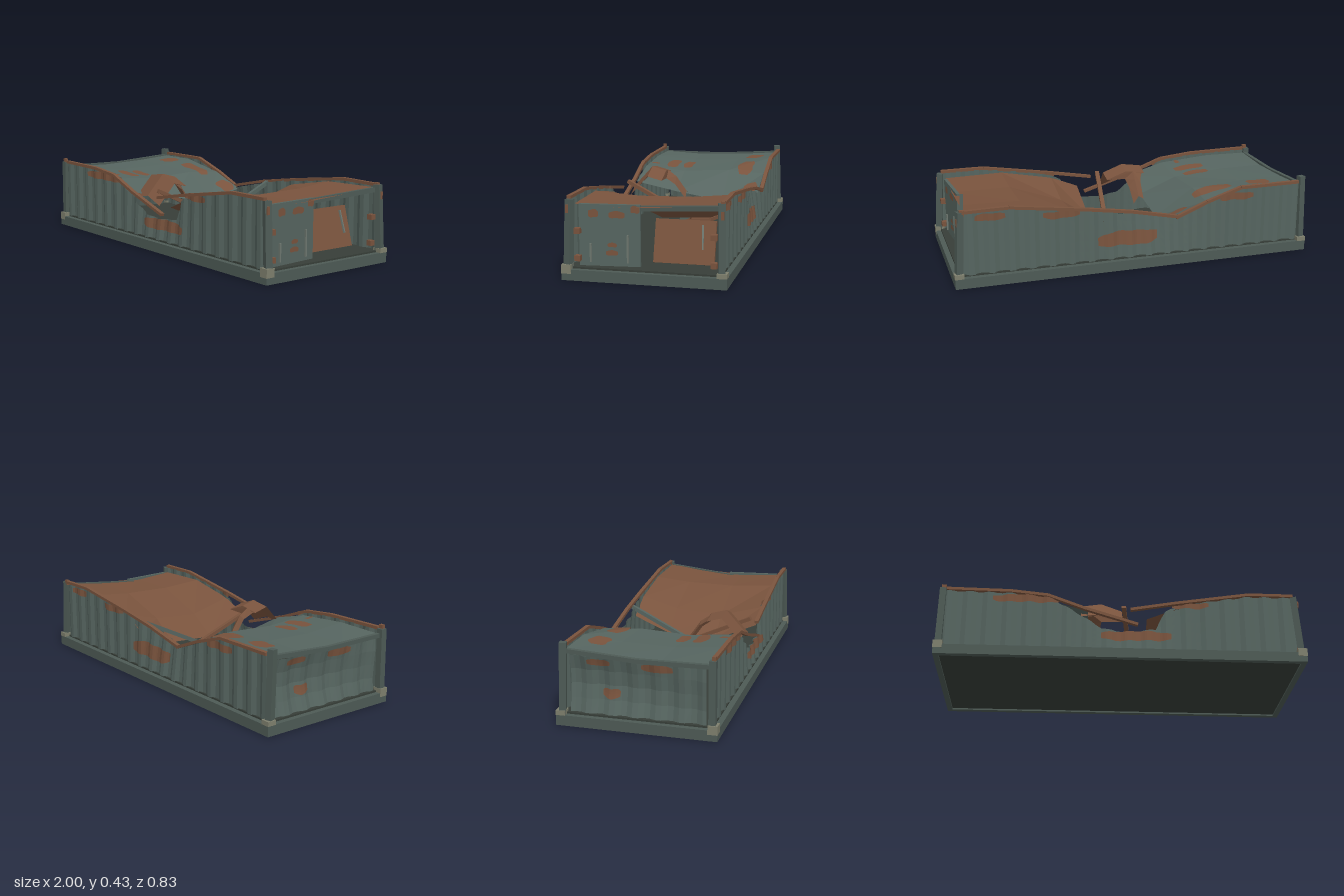
import * as THREE from 'three';

const mat = (name, color) => {
  const m = new THREE.MeshStandardMaterial({ color, side: THREE.DoubleSide, flatShading: true });
  m.name = name;
  return m;
};
const V = (x, y, z) => new THREE.Vector3(x, y, z);

// Piecewise linear profile through [x, y] points
function profile(pts, x) {
  if (x <= pts[0][0]) return pts[0][1];
  for (let i = 1; i < pts.length; i++) {
    const [a, b] = [pts[i - 1], pts[i]];
    if (x <= b[0]) return a[1] + (b[1] - a[1]) * (x - a[0]) / (b[0] - a[0]);
  }
  return pts[pts.length - 1][1];
}

// Shallow trapezoid corrugation, -1..1
function corrugate(u, pitch) {
  const t = ((u / pitch) % 1 + 1) % 1;
  return profile([[0, -1], [0.25, 1], [0.5, 1], [0.75, -1], [1, -1]], t);
}

// Columns that land on every corrugation crease
function creases(from, to, pitch) {
  const out = [from];
  for (let k = Math.ceil(from / pitch * 4); k * pitch / 4 < to; k++) {
    const u = k * pitch / 4;
    if (u > from + 1e-4) out.push(u);
  }
  return [...out, to];
}

export function createModel() {
  const root = new THREE.Group();
  root.name = 'crushedContainer';
  const green = mat('paintedSteel', 0x566560);
  const frame = mat('frameSteel', 0x4d5a55);
  const rust = mat('rust', 0x79533d);
  const dark = mat('darkFloor', 0x373e38);
  const pale = mat('castingGrey', 0x7e7f6d);
  const bar = mat('lockBar', 0x6d776f);

  function add(name, geo, m) {
    const mesh = new THREE.Mesh(geo, m);
    mesh.name = name;
    root.add(mesh);
    return mesh;
  }
  const box = (name, m, w, h, d, x, y, z) => {
    const b = add(name, new THREE.BoxGeometry(w, h, d), m);
    b.position.set(x, y, z);
    return b;
  };
  // Straight bar between two points
  function beam(name, m, a, b, w, h = w) {
    const mesh = add(name, new THREE.BoxGeometry(w, h, a.distanceTo(b)), m);
    mesh.position.copy(a).lerp(b, 0.5);
    mesh.lookAt(b);
  }
  // Sheet sampled from fn(u, v) at the given columns and rows
  function sheet(name, m, fn, us, rows) {
    const pos = [], idx = [];
    us.forEach((u, i) => {
      for (let j = 0; j <= rows; j++) {
        pos.push(...fn(u, j / rows, i).toArray());
        if (i && j) {
          const a = i * (rows + 1) + j, b = a - rows - 1;
          idx.push(b - 1, a - 1, a, b - 1, a, b);
        }
      }
    });
    let g = new THREE.BufferGeometry();
    g.setAttribute('position', new THREE.Float32BufferAttribute(pos, 3));
    g.setIndex(idx);
    g = g.toNonIndexed();
    g.computeVertexNormals();
    add(name, g, m);
  }
  // Ragged rust blotch lying on the surface at(u, v)
  function blotch(at, u, v, w, h, n = 8) {
    const us = Array.from({ length: n + 1 }, (_, i) => u - w / 2 + w * i / n);
    sheet('rustPatch', rust, (a, t) => {
      const s = (a - u) / (w / 2);
      return at(a, v + (t - 0.5) * h * (1 - 0.45 * s ** 4) + 0.06 * h * Math.sin(4 * s + 9 * u));
    }, us, 4);
  }

  // Base frame, floor and corner castings
  for (const s of [-1, 1]) {
    box('sideSill', frame, 1.996, 0.055, 0.03, 0, 0.0275, s * 0.399);
    box('endSill', frame, 0.03, 0.055, 0.77, s * 0.983, 0.0275, 0);
    box('cornerCasting', pale, 0.05, 0.045, 0.05, s * 0.975, 0.0565, 0.39);
    box('cornerCasting', pale, 0.05, 0.024, 0.05, s * 0.975, 0.066, -0.39);
  }
  box('floor', dark, 1.94, 0.055, 0.768, 0, 0.0365, 0);

  // Corner posts with rust at the top
  for (const [x, z, tx, ty, tz] of [
    [0.975, 0.385, 0.955, 0.4, 0.378], [0.975, -0.385, 0.955, 0.41, -0.38],
    [-0.975, 0.385, -0.97, 0.4, 0.385], [-0.975, -0.385, -0.972, 0.43, -0.372],
  ]) beam('cornerPost', frame, V(x, 0.055, z), V(tx, ty, tz), 0.035);
  box('rustyPostTip', rust, 0.025, 0.02, 0.018, -0.965, 0.41, 0.39);
  box('rustyPostTip', rust, 0.025, 0.03, 0.018, 0.945, 0.405, -0.385);
  for (const s of [-1, 1]) box('rustPatch', rust, 0.006, 0.04, 0.016, 0.975, 0.355, s * 0.387);

  // Corrugated long walls, caved in near the middle
  const tops = {
    1: [[-0.95, 0.395], [-0.6, 0.39], [-0.4, 0.37], [-0.25, 0.285], [-0.1, 0.19], [0.02, 0.175],
      [0.2, 0.195], [0.225, 0.295], [0.3, 0.335], [0.5, 0.375], [0.7, 0.403], [0.95, 0.403]],
    '-1': [[-0.95, 0.396], [-0.6, 0.393], [-0.4, 0.325], [-0.22, 0.255], [0.03, 0.31],
      [0.2, 0.345], [0.7, 0.405], [0.95, 0.402]],
  };
  const pitch = 0.108;
  for (const s of [1, -1]) {
    const mid = s > 0 ? 0.05 : -0.08;
    const wall = (x, y, out = 0) => {
      const up = Math.max(0, (y - 0.06) / 0.34);
      const dent = 0.05 * up * Math.exp(-(((x - mid) / 0.24) ** 2));
      return V(x, y, s * (0.38 + 0.006 * corrugate(x, pitch) - dent + out));
    };
    sheet('corrugatedWall', green, (x, t) => wall(x, 0.06 + t * (profile(tops[s], x) - 0.06)),
      creases(-0.955, 0.955, pitch), 5);
    const marks = s > 0
      ? [[0.08, 0.148, 0.38, 0.06], [-0.52, 0.355, 0.36, 0.045], [0.38, 0.338, 0.2, 0.035]]
      : [[0.05, 0.17, 0.34, 0.08], [-0.58, 0.35, 0.2, 0.04], [0.42, 0.345, 0.2, 0.04], [0.8, 0.37, 0.16, 0.04]];
    for (const [u, v, w, h] of marks) blotch((x, y) => wall(x, y, 0.004), u, v, w, h, 32);
  }

  // Bent, broken top rails
  const rails = [
    [0.385, [[-0.95, 0.4], [-0.6, 0.395], [-0.4, 0.375], [-0.2, 0.3], [0.09, 0.21]]],
    [0.385, [[0.05, 0.3], [0.3, 0.345], [0.7, 0.408], [0.95, 0.408]]],
    [-0.385, [[-0.95, 0.402], [-0.6, 0.4], [-0.4, 0.335], [-0.22, 0.262]]],
    [-0.385, [[-0.23, 0.268], [0.03, 0.322], [0.3, 0.362], [0.7, 0.412], [0.95, 0.408]]],
  ];
  for (const [z, p] of rails)
    for (let i = 1; i < p.length; i++)
      beam('topRail', rust, V(...p[i - 1], z), V(...p[i], z), 0.022, 0.016);

  // Two torn roof halves: faceted height grids sagging towards the gap
  const zs = [-0.37, -0.16, 0.12, 0.365];
  const cell = (arr, v) => {
    let i = 0;
    while (i < arr.length - 2 && v > arr[i + 1]) i++;
    return [i, (v - arr[i]) / (arr[i + 1] - arr[i])];
  };
  const roofAt = (xs, hs) => (x, z, lift = 0) => {
    const [i, t] = cell(xs, x), [j, s] = cell(zs, z);
    const a = hs[i][j], d = hs[i + 1][j + 1];
    const h = s > t ? a + s * (hs[i][j + 1] - a) + t * (d - hs[i][j + 1])
      : a + t * (hs[i + 1][j] - a) + s * (d - hs[i + 1][j]);
    return V(x, h + lift, z);
  };
  const lx = [-0.95, -0.7, -0.4, -0.18], rx = [0.14, 0.3, 0.6, 0.925];
  const leftRoof = roofAt(lx, [[0.388, 0.372, 0.362, 0.374], [0.388, 0.368, 0.36, 0.378],
    [0.335, 0.35, 0.335, 0.355], [0.255, 0.2, 0.245, 0.295]]);
  const rightRoof = roofAt(rx, [[0.255, 0.165, 0.15, 0.255], [0.335, 0.275, 0.255, 0.32],
    [0.388, 0.368, 0.362, 0.378], [0.395, 0.375, 0.36, 0.372]]);
  for (const [name, m, fn, xs] of [['greenRoof', green, leftRoof, lx], ['rustyRoof', rust, rightRoof, rx]])
    sheet(name, m, (z, t) => fn(xs[Math.round(t * 3)], z), zs, 3);
  for (const [u, v, w, h] of [[-0.76, -0.26, 0.13, 0.1], [-0.48, -0.25, 0.22, 0.09], [-0.53, 0.12, 0.15, 0.06],
    [-0.52, 0.215, 0.18, 0.07], [-0.245, -0.315, 0.12, 0.08], [-0.485, 0.325, 0.03, 0.05]])
    blotch((x, z) => leftRoof(x, z, 0.006), u, v, w, h, 12);

  // Curled roof flap: z, height and x range of each fold
  const flap = [[0.05, 0.24, -0.18, -0.12], [0.11, 0.325, -0.18, -0.11], [0.16, 0.36, -0.2, -0.1],
    [0.162, 0.363, -0.22, 0.01], [0.245, 0.386, -0.22, 0.01], [0.35, 0.27, -0.22, 0.01]];
  sheet('curledFlap', rust, (z, t, i) => {
    const [, y, a, b] = flap[i];
    return V(a + (b - a) * t, y + 0.03 * Math.sin(Math.PI * t) - 0.025 * t, z);
  }, flap.map((f) => f[0]), 2);

  // Debris in the gap
  const scrap = box('fallenPlate', rust, 0.2, 0.02, 0.18, -0.07, 0.115, -0.065);
  scrap.rotation.set(0.1, -0.14, 0.06);
  beam('fallenCrossbeam', green, V(0.09, 0.325, -0.37), V(0.075, 0.13, 0.03), 0.022);
  beam('fallenRustyBeam', rust, V(0.075, 0.145, -0.03), V(0.015, 0.33, 0.36), 0.024, 0.02);

  // Crumpled end wall with its sagging header
  const endWall = (z, y, out = 0) => {
    const t = Math.min(1, Math.max(0, (y - 0.06) / 0.31));
    const dent = 0.035 * Math.sin(Math.PI * t) * Math.cos(z * 3.2 + t * 0.8);
    return V(-0.955 + 0.006 * corrugate(z, 0.12) + dent - out, y, z);
  };
  sheet('endWall', green, (z, t) => endWall(z, 0.06 + t * 0.298), creases(-0.35, 0.35, 0.12), 4);
  beam('endHeader', frame, V(-0.962, 0.385, -0.37), V(-0.962, 0.362, 0), 0.022);
  beam('endHeader', frame, V(-0.962, 0.362, 0), V(-0.962, 0.365, 0.37), 0.022);
  for (const [u, v, w, h] of [[-0.14, 0.17, 0.09, 0.05], [0.1, 0.325, 0.16, 0.04], [-0.2, 0.33, 0.12, 0.035]])
    blotch((z, y) => endWall(z, y, 0.006), u, v, w, h, 16);

  // Standing door with lock bars and blotches
  const doorX = (z) => 0.902 + (z - 0.035) * 0.09;
  beam('standingDoor', green, V(doorX(0.035), 0.22, 0.035), V(doorX(0.34), 0.22, 0.34), 0.018, 0.31);
  for (const [z, a, b] of [[0.28, 0.085, 0.18], [0.095, 0.085, 0.225]])
    beam('lockBar', bar, V(doorX(z) + 0.016, a, z), V(doorX(z) + 0.016, b, z), 0.009);
  for (const [u, v, w, h] of [[0.267, 0.33, 0.05, 0.04], [0.15, 0.325, 0.08, 0.035], [0.058, 0.353, 0.046, 0.036],
    [0.173, 0.173, 0.045, 0.022], [0.175, 0.133, 0.06, 0.026]])
    blotch((z, y) => V(doorX(z) + 0.013, y, z), u, v, w, h);

  // Fallen door leaning inside the opening
  const door = box('leaningDoor', rust, 0.018, 0.22, 0.31, 0.8, 0.178, -0.165);
  door.rotation.z = 0.28;
  beam('lockBar', bar, V(0.838, 0.15, -0.262), V(0.804, 0.268, -0.256), 0.009);

  // Sagging door header and hinges
  beam('doorHeader', frame, V(0.88, 0.352, 0.06), V(0.945, 0.384, -0.37), 0.018, 0.026);
  for (const s of [-1, 1])
    for (const y of [0.105, 0.243]) box('hinge', rust, 0.03, 0.028, 0.03, 0.95, y, s * 0.343);

  return root;
}
